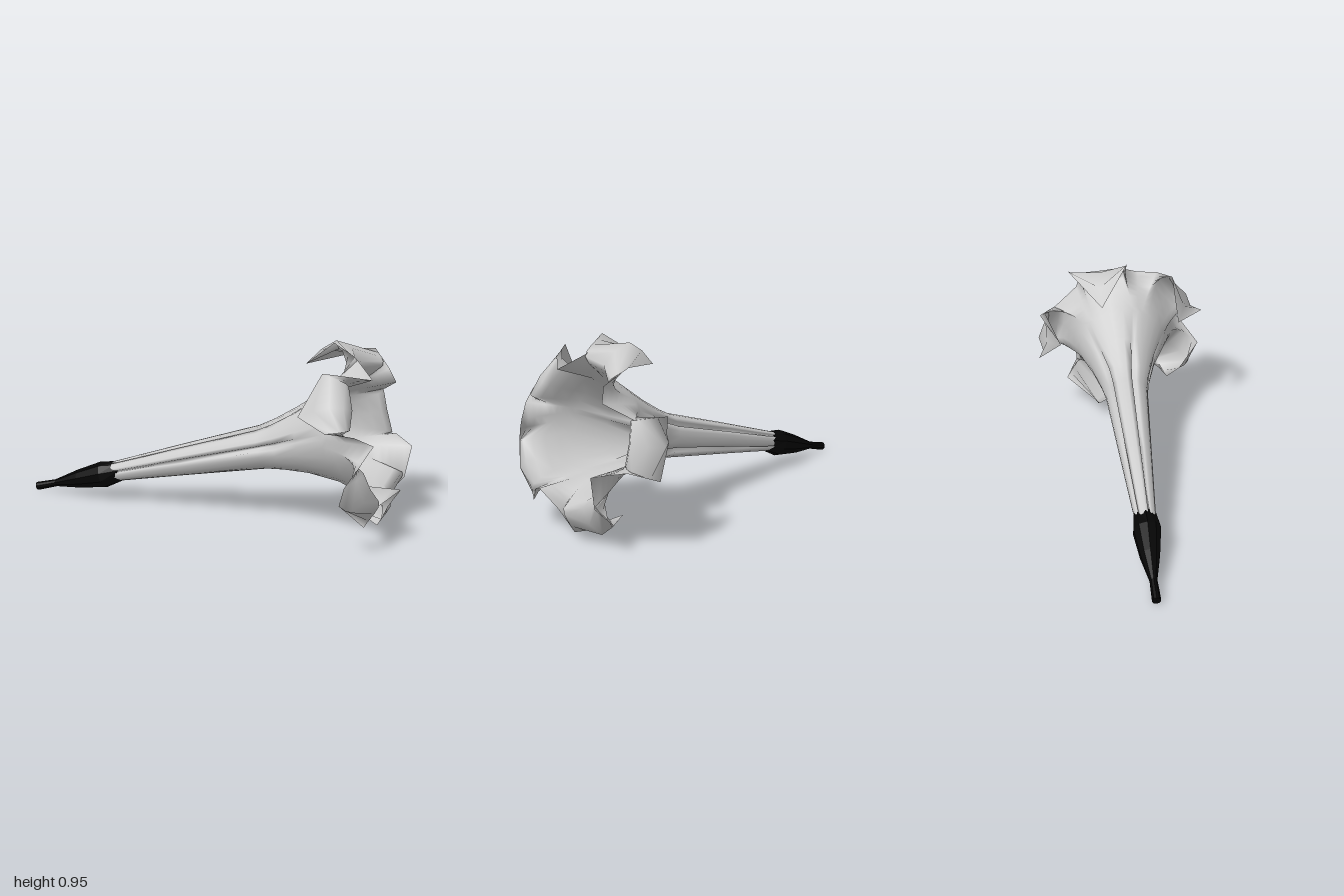
import * as THREE from 'three';

const V = (x, y, z) => new THREE.Vector3(x, y, z);
const TILT = THREE.MathUtils.degToRad(15);
const AXIS = V(Math.cos(TILT), Math.sin(TILT), 0);
const UP = V(-Math.sin(TILT), Math.cos(TILT), 0);

// Point on a ring around the tilted flower axis; angle runs from up towards +z
function ringPoint([x, y, z, r], deg, scale = 1, along = 0) {
  const a = THREE.MathUtils.degToRad(deg);
  return V(x, y, z)
    .addScaledVector(UP, r * scale * Math.cos(a))
    .addScaledVector(V(0, 0, 1), r * scale * Math.sin(a))
    .addScaledVector(AXIS, along);
}

// Skin of closed rows of points, each row having the same count
function loft(rows) {
  const n = rows[0].length, index = [];
  for (let i = 0; i < rows.length - 1; i++) {
    for (let j = 0; j < n; j++) {
      const a = i * n + j, b = i * n + (j + 1) % n;
      index.push(a, b, a + n, b, b + n, a + n);
    }
  }
  const geo = new THREE.BufferGeometry().setFromPoints(rows.flat());
  geo.setIndex(index);
  geo.computeVertexNormals();
  return geo;
}

// Each petal: the notch before it, then shoulder, corner, crest, curled tip, corner, shoulder
const PETALS = [
  { angle: 20, notch: [0.84, 0.81, 0.11], s1: [0.76, 0.84, 0.20], a: [0.64, 0.865, 0.27],
    crest: [0.70, 0.73, 0.355], tip: [0.53, 0.65, 0.29], b: [0.70, 0.63, 0.44], s2: [0.82, 0.60, 0.36] },
  { angle: 80, notch: [0.90, 0.55, 0.30], s1: [0.86, 0.48, 0.36], a: [0.80, 0.38, 0.44],
    crest: [0.83, 0.25, 0.395], tip: [0.75, 0.25, 0.33], b: [0.86, 0.14, 0.28], s2: [0.90, 0.22, 0.22] },
  { angle: 160, notch: [0.99, 0.28, 0.09], s1: [0.92, 0.17, 0.04], a: [0.86, 0.05, 0],
    crest: [0.80, 0.05, -0.12], tip: [0.66, 0.11, -0.12], b: [0.88, 0.16, -0.28], s2: [0.94, 0.24, -0.22] },
  { angle: 242, notch: [0.97, 0.40, -0.23], s1: [0.86, 0.42, -0.35], a: [0.74, 0.37, -0.44],
    crest: [0.70, 0.52, -0.44], tip: [0.58, 0.53, -0.33], b: [0.68, 0.66, -0.43], s2: [0.80, 0.65, -0.34] },
  { angle: 312, notch: [0.88, 0.72, -0.22], s1: [0.85, 0.79, -0.20], a: [0.76, 0.87, -0.27],
    crest: [0.60, 0.93, -0.12], tip: [0.45, 0.80, -0.12], b: [0.63, 0.955, 0.03], s2: [0.74, 0.88, 0.02] },
];

// Tube rings: centre x, y, z, radius, and how far the pleats sink in
const TUBE = [
  [-0.56, 0.155, -0.02, 0.05, 0.65],
  [-0.15, 0.27, -0.018, 0.08, 0.55],
  [0.27, 0.385, -0.015, 0.11, 0.48],
  [0.36, 0.411, -0.013, 0.13, 0.55],
  [0.49, 0.45, -0.01, 0.17, 0.96],
  [0.64, 0.49, 0, 0.232, 1],
];
const STEPS = 8;

// One lengthwise strand of the blossom: tube points, then a curve to the rim
function strand(angle, pleated, rim) {
  const tube = TUBE.map((ring) => ringPoint(ring, angle, pleated ? ring[4] : 1));
  const curve = new THREE.CatmullRomCurve3([...tube.slice(-2), ...rim], false, 'centripetal');
  // Half of the rows lead up to the bend, the rest beyond it
  const segments = rim.length + 1, bendAt = rim.length > 1 ? 1 : 0.5;
  const points = [];
  for (let i = 1; i <= STEPS; i++) {
    const u = i / STEPS;
    const s = u < 0.5 ? 2 * u * bendAt : bendAt + (2 * u - 1) * (rim.length - bendAt);
    points.push(curve.getPoint((1 + s) / segments));
  }
  return [...tube, ...points];
}

function blossomGeometry() {
  const strands = [];
  PETALS.forEach((p, i) => {
    const q = PETALS[(i + 1) % PETALS.length];
    const span = (q.angle - p.angle + 360) % 360;
    const n0 = V(...p.notch), n1 = V(...q.notch);
    const at = (f) => p.angle + span * f;
    // Where the petal bends over the mouth, part way from the notches to its edge
    const bend = (f, edge) => n0.clone().lerp(n1, f).lerp(V(...edge), 0.48);
    strands.push(
      strand(at(0), true, [n0]),
      strand(at(0.1), false, [V(...p.s1)]),
      strand(at(0.28), false, [bend(0.28, p.a), V(...p.a)]),
      strand(at(0.5), false, [bend(0.5, p.crest), V(...p.crest), V(...p.tip)]),
      strand(at(0.72), false, [bend(0.72, p.b), V(...p.b)]),
      strand(at(0.9), false, [V(...p.s2)]),
    );
  });
  return loft(strands[0].map((_, row) => strands.map((s) => s[row])));
}

// Stem and calyx rings, ending in a toothed rim
function calyxGeometry() {
  const rings = [
    [-0.99, 0.024, -0.026, 0.001],
    [-0.99, 0.024, -0.026, 0.022],
    [-0.88, 0.055, -0.026, 0.019],
    [-0.74, 0.095, -0.024, 0.05],
    [-0.60, 0.137, -0.02, 0.07],
    [-0.51, 0.164, -0.02, 0.054],
  ];
  const sides = 10;
  return loft(rings.map((ring, i) => Array.from({ length: sides }, (_, j) => {
    const tooth = i === rings.length - 1 ? (j % 2 ? -0.015 : 0.015) : 0;
    return ringPoint(ring, j * 360 / sides, 1, tooth);
  })));
}

export function createModel() {
  const group = new THREE.Group();
  group.name = 'trumpetFlower';

  const blossom = new THREE.Mesh(
    blossomGeometry(),
    new THREE.MeshStandardMaterial({ color: 0xcccccc, side: THREE.DoubleSide }),
  );
  blossom.name = 'blossom';

  const calyx = new THREE.Mesh(
    calyxGeometry(),
    new THREE.MeshStandardMaterial({ color: 0x050505, side: THREE.DoubleSide, flatShading: true }),
  );
  calyx.name = 'stemAndCalyx';

  group.add(blossom, calyx);
  return group;
}
